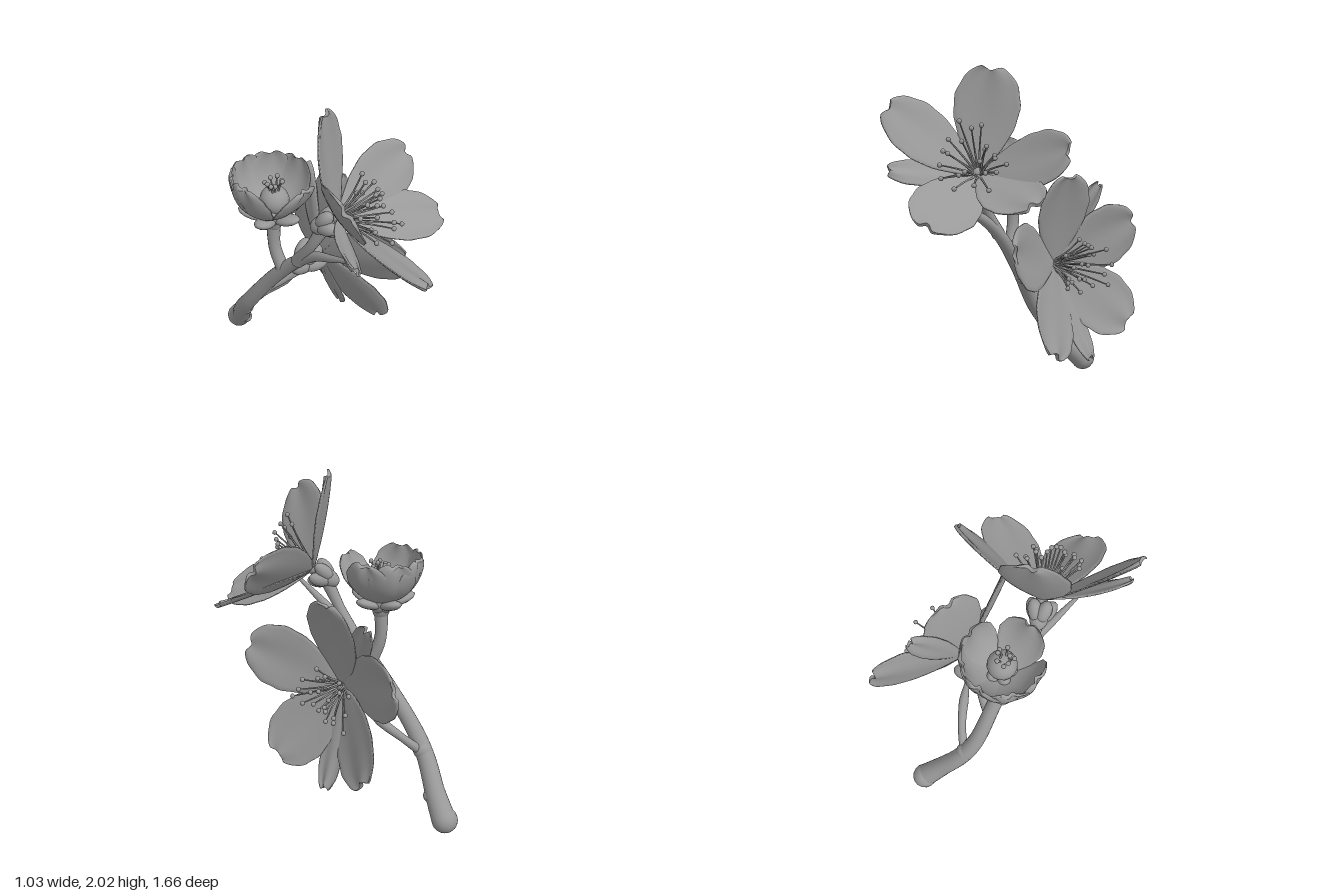
import * as THREE from 'three';
import { mergeVertices } from 'three/addons/utils/BufferGeometryUtils.js';

const V = (a) => new THREE.Vector3(...a);

export function createModel() {
  const root = new THREE.Group();
  root.name = 'blossomBranch';
  const grey = new THREE.MeshStandardMaterial({ color: 0x999999 });
  grey.name = 'stone grey';

  let seed = 7;
  const rand = () => (seed = (seed * 16807) % 2147483647) / 2147483647;

  const add = (parent, geometry, name) => {
    const mesh = new THREE.Mesh(geometry, grey);
    mesh.name = name;
    parent.add(mesh);
    return mesh;
  };

  const ball = (parent, name, at, rx, ry = rx, rz = rx, detail = 16) => {
    const mesh = add(parent, new THREE.SphereGeometry(1, detail, Math.ceil(detail * 0.7)), name);
    mesh.position.copy(at);
    mesh.scale.set(rx, ry, rz);
    return mesh;
  };

  // Tube whose radius follows a list of values along the path
  function taper(parent, name, points, radii, segments = 40, sides = 14) {
    const curve = new THREE.CatmullRomCurve3(points);
    const geo = new THREE.TubeGeometry(curve, segments, 1, sides);
    const pos = geo.attributes.position, p = new THREE.Vector3();
    for (let i = 0; i < pos.count; i++) {
      const t = Math.floor(i / (sides + 1)) / segments;
      const f = t * (radii.length - 1), k = Math.min(Math.floor(f), radii.length - 2);
      const r = THREE.MathUtils.lerp(radii[k], radii[k + 1], f - k);
      const c = curve.getPointAt(t);
      p.fromBufferAttribute(pos, i).sub(c).multiplyScalar(r).add(c);
      pos.setXYZ(i, p.x, p.y, p.z);
    }
    add(parent, geo, name);
    ball(parent, name + 'End', points[points.length - 1], radii[radii.length - 1], undefined, undefined, 10);
  }

  // Thin rounded petal with a shallow notch and ruffled edge, from base to tip, facing normal
  function petal(parent, base, tip, normal, width, cup = 0.5, bulge = 0.015) {
    const raw = new THREE.BoxGeometry(1, 1, 1, 14, 26, 1);
    const length = base.distanceTo(tip) * 1.02, pos = raw.attributes.position;
    const phase = rand() * 6;
    for (let i = 0; i < pos.count; i++) {
      const u = pos.getX(i) * 2, side = Math.sign(pos.getZ(i));
      const v = 1 - Math.pow(0.5 - pos.getY(i), 1.8);
      const w = v > 0.64
        ? Math.sqrt(1 - ((v - 0.64) / 0.378) ** 2)
        : 0.1 + 0.9 * Math.sin((Math.PI / 2) * v / 0.64);
      const ruffle = 1 + 0.025 * Math.sin(v * 30 + phase + u) * v;
      const x = u * w * ruffle * width / 2;
      const notch = 0.04 * Math.exp(-((u * w / 0.2) ** 2)) * v ** 10;
      const wave = 0.008 * Math.sin(u * 5 + phase) * v * v;
      const z = cup * x * x - bulge * 4 * v * (1 - v) + wave + side * 0.011 * (1 - 0.6 * u * u);
      pos.setXYZ(i, x, (v - notch) * length, z);
    }
    raw.deleteAttribute('uv');
    raw.deleteAttribute('normal');
    const geo = mergeVertices(raw, 1e-5);
    geo.computeVertexNormals();
    const y = tip.clone().sub(base).normalize();
    const z = normal.clone().addScaledVector(y, -normal.dot(y)).normalize();
    const x = y.clone().cross(z);
    geo.applyMatrix4(new THREE.Matrix4().makeBasis(x, y, z).setPosition(base));
    add(parent, geo, 'petal');
  }

  // Fan of thin filaments with round anthers
  function stamens(parent, centre, normal, count, spread, minLength, maxLength) {
    const n = normal.clone().normalize();
    const a = new THREE.Vector3(0.3, 1, 0.2).cross(n).normalize(), b = n.clone().cross(a);
    for (let i = 0; i < count; i++) {
      const angle = i * 2.4, s = spread * Math.sqrt((i + 0.5) / count);
      const length = minLength + (maxLength - minLength) * rand();
      const out = a.clone().multiplyScalar(Math.cos(angle)).addScaledVector(b, Math.sin(angle));
      const start = centre.clone().addScaledVector(out, 0.02);
      const dir = n.clone().addScaledVector(out, s).normalize();
      const mid = start.clone().addScaledVector(dir, length * 0.5).addScaledVector(n, 0.015);
      const end = start.clone().addScaledVector(dir, length);
      taper(parent, 'stamen', [start, mid, end], [0.007, 0.004], 5, 6);
      ball(parent, 'anther', end, 0.014, 0.014, 0.014, 8);
    }
  }

  // Rounded base of five swollen sepals, pointed at the stem
  function calyx(parent, centre, axis, size) {
    const group = new THREE.Group();
    group.name = 'calyx';
    group.position.copy(centre);
    group.quaternion.setFromUnitVectors(new THREE.Vector3(0, 1, 0), axis.clone().normalize());
    group.scale.setScalar(size);
    ball(group, 'calyxCore', V([0, -0.2, 0]), 0.65, 1, 0.65);
    for (let i = 0; i < 5; i++) {
      const t = i * Math.PI * 0.4;
      const lobe = ball(group, 'sepal', V([Math.cos(t) * 0.48, 0.1, Math.sin(t) * 0.48]), 0.5, 0.85, 0.5, 14);
      lobe.rotation.set(Math.sin(t) * 0.5, 0, -Math.cos(t) * 0.5);
    }
    parent.add(group);
  }

  // Open flower; each petal is tip, width and an optional facing of its own
  function flower(name, centre, normal, petals) {
    const group = new THREE.Group();
    group.name = name;
    for (const [tip, width, facing] of petals) petal(group, centre, V(tip), facing ? V(facing) : normal, width);
    ball(group, 'flowerHeart', centre, 0.035);
    stamens(group, centre, normal, 22, 0.85, 0.15, 0.35);
    root.add(group);
    return group;
  }

  // Main branch, knobs and side twigs
  taper(root, 'branch', [
    [0.04, 0.08, -0.74], [-0.03, 0.19, -0.65], [-0.12, 0.36, -0.54], [-0.16, 0.5, -0.44],
    [-0.16, 0.8, -0.22], [-0.16, 1.0, -0.04], [-0.18, 1.13, 0.12], [-0.22, 1.21, 0.27], [-0.26, 1.29, 0.43],
  ].map(V), [0.074, 0.06, 0.055, 0.05, 0.046, 0.044, 0.04, 0.032, 0.022, 0.01], 70, 16);
  ball(root, 'branchFoot', V([0.04, 0.08, -0.745]), 0.078);
  ball(root, 'knob', V([-0.02, 0.175, -0.62]), 0.042);
  ball(root, 'knob', V([-0.02, 0.18, -0.67]), 0.054);
  ball(root, 'knob', V([-0.13, 0.4, -0.51]), 0.058);
  taper(root, 'twig', [[-0.13, 0.38, -0.52], [-0.04, 0.5, -0.42], [0.03, 0.62, -0.3], [0.07, 0.76, -0.19]].map(V),
    [0.03, 0.024, 0.03, 0.01], 24);
  taper(root, 'twig', [[-0.15, 0.7, -0.28], [-0.06, 0.74, -0.22], [0.02, 0.81, -0.15]].map(V), [0.04, 0.034, 0.04], 20);
  taper(root, 'twig', [[-0.165, 1.02, -0.02], [-0.18, 1.2, 0.1], [-0.165, 1.36, 0.18]].map(V), [0.042, 0.03, 0.04], 20);
  taper(root, 'twig', [[-0.16, 0.9, -0.14], [-0.17, 1.05, -0.19], [-0.17, 1.28, -0.19]].map(V), [0.04, 0.036, 0.045], 20);

  // Upper flower facing forward
  const upperFacing = V([0.35, 0.45, 0.8]);
  const upper = flower('upperFlower', V([-0.13, 1.42, 0.25]), upperFacing, [
    [[-0.11, 2.0, 0.13], 0.38],
    [[0.46, 1.57, 0.27], 0.35, [0.1, 0.55, 0.8]],
    [[0.4, 1.31, 0.55], 0.33, [0.2, 0.75, 0.55]],
    [[-0.08, 1.2, 0.81], 0.37, [0.5, 0.68, 0.45]],
    [[-0.5, 1.79, 0.58], 0.36, [0.62, 0.48, 0.4]],
    [[-0.47, 1.45, 0.62], 0.17, [0.5, 0.6, 0.4]],
  ]);
  calyx(upper, V([-0.16, 1.375, 0.19]), upperFacing, 0.085);

  // Side flower facing the left
  const side = flower('sideFlower', V([0.16, 0.86, -0.12]), V([1, 0, 0.08]), [
    [[0.28, 1.39, -0.08], 0.38, [1, 0, 0.35]],
    [[0.45, 1.07, -0.59], 0.38, [1, 0, 0.4]],
    [[0.5, 0.48, -0.44], 0.38, [1, 0, 0.35]],
    [[0.35, 0.41, 0.21], 0.38, [1, 0, 0.2]],
    [[0.24, 1.03, 0.46], 0.38, [0.92, 0.22, 0]],
    [[0.4, 0.31, -0.14], 0.16, [1, 0, 0.2]],
    [[0.33, 1.32, -0.36], 0.16, [1, 0, 0.3]],
  ]);
  calyx(side, V([0.055, 0.85, -0.14]), V([1, 0.25, 0.05]), 0.105);

  // Half-open flower pointing up, a cup of six petals over spread sepals
  const cup = new THREE.Group();
  cup.name = 'cupFlower';
  root.add(cup);
  const cupBase = V([-0.18, 1.28, -0.19]), up = V([0, 1, 0]);
  [90, 180, 0, -90, -45, -135].forEach((degrees, i) => {
    const t = THREE.MathUtils.degToRad(degrees), front = i === 0;
    const tip = cupBase.clone().add(V([Math.cos(t) * 0.22, front ? 0.25 : 0.28, Math.sin(t) * (front ? 0.24 : 0.22)]));
    petal(cup, cupBase, tip, up, 0.28, front ? 1.2 : 2.2, front ? 0.045 : 0.075);
  });
  for (let i = 0; i < 5; i++) {
    const t = i * Math.PI * 0.4 + 0.3;
    const sepal = ball(cup, 'sepal', V([-0.18 + Math.cos(t) * 0.11, 1.29, -0.19 + Math.sin(t) * 0.11]), 0.09, 0.03, 0.055, 12);
    sepal.rotation.set(0, -t, 0.35);
  }
  ball(cup, 'ovary', V([-0.17, 1.38, -0.18]), 0.085);
  stamens(cup, V([-0.18, 1.43, -0.17]), up, 8, 0.5, 0.05, 0.1);
  calyx(cup, V([-0.17, 1.27, -0.19]), up, 0.085);

  return root;
}
